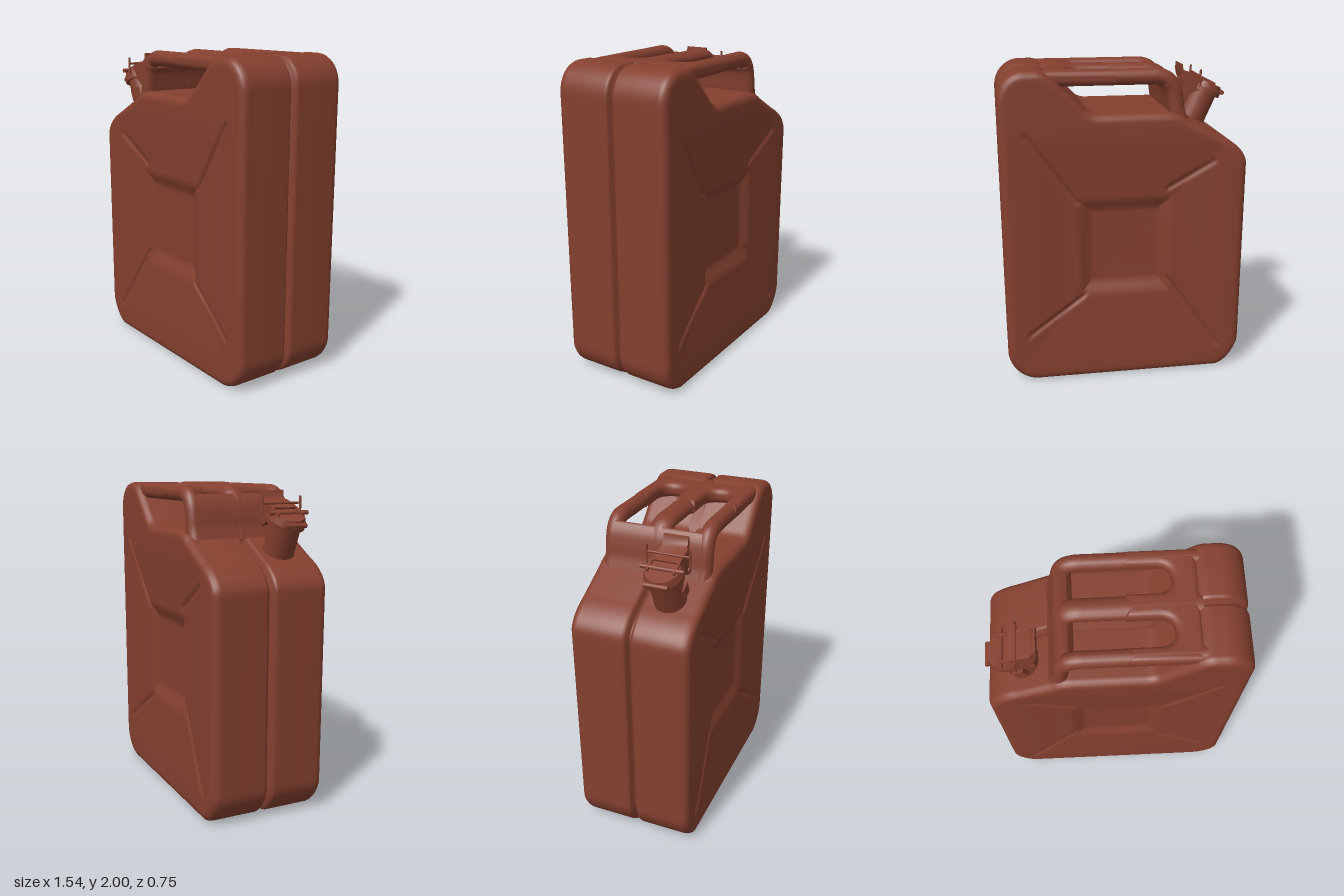
import * as THREE from 'three';
import { toCreasedNormals } from 'three/addons/utils/BufferGeometryUtils.js';

const paint = new THREE.MeshStandardMaterial({ color: 0x84402f, side: THREE.DoubleSide });
paint.name = 'rust red paint';

const V = (x, y, z = 0) => new THREE.Vector3(x, y, z);

function add(parent, name, geometry, x = 0, y = 0, z = 0) {
  const mesh = new THREE.Mesh(geometry, paint);
  mesh.name = name;
  mesh.position.set(x, y, z);
  parent.add(mesh);
  return mesh;
}

// Counter-clockwise side outline of the can
function canOutline(count) {
  const s = new THREE.Shape();
  s.moveTo(-0.61, 0);
  s.lineTo(0.58, 0);
  s.bezierCurveTo(0.68, 0.01, 0.762, 0.1, 0.762, 0.2);
  s.lineTo(0.768, 1.82);
  s.bezierCurveTo(0.768, 1.92, 0.69, 2, 0.6, 2);
  s.lineTo(0.53, 2);
  s.quadraticCurveTo(0.485, 2, 0.43, 1.95);
  s.lineTo(0.24, 1.76);
  s.quadraticCurveTo(0.21, 1.735, 0.17, 1.735);
  s.lineTo(-0.27, 1.735);
  s.quadraticCurveTo(-0.34, 1.725, -0.38, 1.69);
  s.lineTo(-0.6, 1.575);
  s.bezierCurveTo(-0.69, 1.54, -0.77, 1.47, -0.77, 1.4);
  s.lineTo(-0.77, 0.2);
  s.bezierCurveTo(-0.77, 0.12, -0.68, 0, -0.61, 0);
  return s.getSpacedPoints(count).slice(0, count);
}

// Centre panel and the pressed diagonal creases
const panel = { cx: 0, cy: 0.895, hx: 0.2, hy: 0.215 };
const creases = [
  [0.3, 1.19, 0.61, 1.62], [-0.27, 1.26, -0.56, 1.43],
  [0.26, 0.57, 0.62, 0.32], [-0.28, 0.65, -0.61, 0.17],
];

// Depth of the pressing: four shallow slopes, a step round the panel, and the creases
function pressDepth(x, y) {
  const t = 1 - Math.max((Math.abs(x) - 0.2) / 0.52, (y - 1.11) / 0.55, (0.68 - y) / 0.63);
  let crease = 0;
  for (const [ax, ay, bx, by] of creases) {
    const dx = bx - ax, dy = by - ay;
    const u = THREE.MathUtils.clamp(((x - ax) * dx + (y - ay) * dy) / (dx * dx + dy * dy), 0, 1);
    const d = Math.hypot(x - ax - u * dx, y - ay - u * dy);
    crease = Math.max(crease, 0.012 * Math.exp(-((d / 0.014) ** 2)));
  }
  return 0.03 * THREE.MathUtils.smoothstep(t, 0.03, 0.95) + 0.034 * THREE.MathUtils.smoothstep(t, 0.8, 1) + crease;
}

// One pressed half shell, built from rings running from the seam to the centre panel
function shellHalf(side) {
  const N = 400, steps = 40;
  const outline = canOutline(N);
  const normals = outline.map((p, i) => {
    const a = outline[(i + N - 2) % N], b = outline[(i + 2) % N];
    return new THREE.Vector2(b.y - a.y, a.x - b.x).normalize();
  });
  const pos = [], index = [];
  const profile = [[0.045, 0], [0.045, 0.008], [0.014, 0.016], [0.004, 0.025], [0, 0.04], [0, 0.18],
    [0, 0.325], [0.004, 0.345], [0.014, 0.362], [0.028, 0.371]];
  for (const [inset, z] of profile) {
    outline.forEach((p, i) => pos.push(p.x - normals[i].x * inset, p.y - normals[i].y * inset, z * side));
  }
  for (let k = 0; k <= steps; k++) {
    const t = k / steps;
    outline.forEach((p, i) => {
      const dx = p.x - normals[i].x * 0.045 - panel.cx, dy = p.y - normals[i].y * 0.045 - panel.cy;
      const f = 1 / Math.max(Math.abs(dx) / panel.hx, Math.abs(dy) / panel.hy);
      const m = 1 - t + t * f;
      const x = panel.cx + dx * m, y = panel.cy + dy * m;
      pos.push(x, y, side * (0.375 - pressDepth(x, y)));
    });
  }
  const rings = profile.length + steps + 1;
  const tri = (a, b, c) => (side > 0 ? index.push(a, b, c) : index.push(a, c, b));
  for (let r = 0; r < rings - 1; r++) {
    for (let i = 0; i < N; i++) {
      const j = (i + 1) % N, a = r * N + i, b = r * N + j;
      tri(a, b, b + N);
      tri(a, b + N, a + N);
    }
  }
  pos.push(panel.cx, panel.cy, side * (0.375 - pressDepth(panel.cx, panel.cy)));
  for (let i = 0; i < N; i++) tri((rings - 1) * N + i, (rings - 1) * N + (i + 1) % N, rings * N);
  const g = new THREE.BufferGeometry();
  g.setAttribute('position', new THREE.Float32BufferAttribute(pos, 3));
  g.setIndex(index);
  g.computeVertexNormals();
  return g;
}

const polygon = (points) => new THREE.Shape(points.map(([x, y]) => new THREE.Vector2(x, y)));

// Extrusion centred on its own depth, with smooth rounded edges
function slab(shape, depth, bevel = 0) {
  const g = new THREE.ExtrudeGeometry(shape, {
    depth: depth - 2 * bevel, bevelEnabled: bevel > 0, bevelSize: bevel, bevelThickness: bevel, bevelSegments: 5,
  });
  g.translate(0, 0, -depth / 2 + bevel);
  return toCreasedNormals(g, 0.75);
}

// Sheet with rounded edges: a tube pulled apart sideways, its first ring closed to a line
function sheetAlong(points, radius, halfWidth) {
  const curve = new THREE.CatmullRomCurve3(points);
  const g = new THREE.TubeGeometry(curve, 24, radius, 20);
  const p = g.attributes.position;
  for (let i = 0; i < p.count; i++) {
    const z = p.getZ(i);
    if (i <= 20) p.setXY(i, points[0].x, points[0].y);
    p.setZ(i, z + Math.sign(z) * (halfWidth - radius));
  }
  g.computeVertexNormals();
  return g;
}

function buildHandles(parent) {
  const bend = [V(-0.265, 1.927), V(-0.298, 1.88), V(-0.315, 1.81), V(-0.325, 1.74), V(-0.35, 1.66)];
  const path = new THREE.CatmullRomCurve3([V(0.49, 1.949), V(0.3, 1.949), V(0.1, 1.949), V(-0.05, 1.949),
    V(-0.15, 1.949), V(-0.215, 1.947), ...bend]);
  for (const [name, z, width] of [['frontHandleBar', 0.293, 1], ['middleHandleBar', 0, 1.4], ['backHandleBar', -0.293, 1]]) {
    const bar = new THREE.TubeGeometry(path, 70, 0.049, 18);
    bar.scale(1, 1, width);
    add(parent, name, bar, 0, 0, z);
  }
  // Full-width bent sheet joining the three bars at the spout end
  add(parent, 'handleUpright', sheetAlong(bend, 0.0485, 0.342));
  // Deck with rounded slot ends joining the bars to the can
  const deck = new THREE.Shape();
  deck.moveTo(0.1, -0.302);
  deck.lineTo(0.44, -0.302);
  deck.lineTo(0.44, 0.302);
  deck.lineTo(0.1, 0.302);
  for (const [a, b] of [[0.285, 0.035], [-0.035, -0.285]]) {
    deck.lineTo(0.1, a);
    deck.lineTo(0.25, a);
    deck.bezierCurveTo(0.41, a, 0.41, b, 0.25, b);
    deck.lineTo(0.1, b);
  }
  add(parent, 'handleDeck', slab(deck, 0.096, 0.04).rotateX(Math.PI / 2), 0, 1.949, 0);
  // Filler covering the seam below the handle
  add(parent, 'seamFiller', slab(polygon([[-0.36, 1.6], [0.5, 1.6], [0.5, 1.98], [0.45, 1.96],
    [0.21, 1.732], [-0.29, 1.732], [-0.37, 1.69]]), 0.12));
}

function buildSpout(parent) {
  const spout = new THREE.Group();
  spout.name = 'spout';
  spout.position.set(-0.53, 1.6, 0.168);
  spout.rotation.z = 0.436;
  parent.add(spout);
  const disc = (name, r1, r2, h, y, x = 0) => add(spout, name, new THREE.CylinderGeometry(r1, r2, h, 28), x, y);
  const rod = (name, r, length, x, y) => {
    add(spout, name, new THREE.CylinderGeometry(r, r, length, 14).rotateX(Math.PI / 2), x, y);
  };
  disc('neck', 0.093, 0.097, 0.24, 0.08);
  disc('neckCollar', 0.115, 0.115, 0.03, 0.21);
  disc('lid', 0.1, 0.115, 0.04, 0.245);
  rod('hingePin', 0.015, 0.14, -0.105, 0.24);
  rod('latchPivot', 0.018, 0.19, 0.13, 0.14);
  rod('lidCrossPin', 0.013, 0.26, 0.0, 0.268);
  add(spout, 'latchCatch', new THREE.BoxGeometry(0.03, 0.09, 0.08), 0.095, 0.09);
  add(spout, 'frontCatch', new THREE.BoxGeometry(0.07, 0.07, 0.03), 0.02, 0.09, 0.09);
  // Side arms of the locking lever
  for (const z of [-0.08, 0.08]) {
    add(spout, 'leverArm', slab(polygon([[-0.04, 0.225], [0.04, 0.2], [0.08, 0.17], [0.11, 0.12], [0.15, 0.125],
      [0.155, 0.18], [0.195, 0.225], [0.18, 0.262], [0.09, 0.275], [-0.03, 0.28]]), 0.014), 0, 0, z);
  }
  // Curved grip of the lever
  add(spout, 'leverGrip', slab(polygon([[0.05, 0.258], [0.17, 0.235], [0.2, 0.225], [0.222, 0.255], [0.237, 0.297],
    [0.225, 0.3], [0.205, 0.27], [0.18, 0.262], [0.05, 0.277]]), 0.15));
  // Upright wire bail
  for (const z of [-0.13, 0.13]) {
    const wire = add(spout, 'bailWire', new THREE.CylinderGeometry(0.007, 0.007, 0.11, 8), 0.092, 0.268, z);
    wire.rotation.z = -0.436;
  }
  rod('bailCrossWire', 0.007, 0.27, 0.1, 0.28);
}

export function createModel() {
  const model = new THREE.Group();
  model.name = 'fuelCan';
  add(model, 'frontShell', shellHalf(1));
  add(model, 'backShell', shellHalf(-1));
  buildHandles(model);
  buildSpout(model);
  return model;
}
